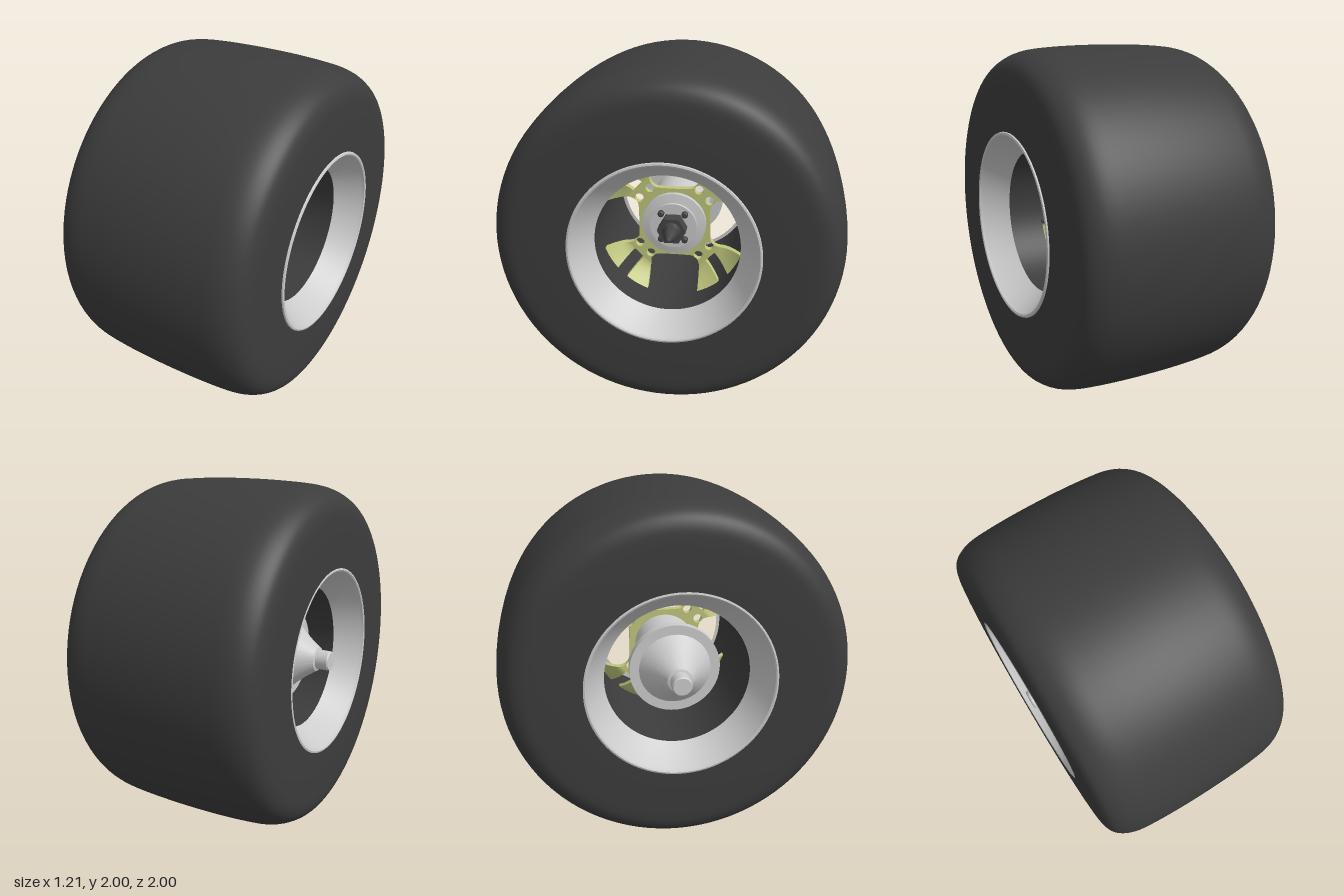
import * as THREE from 'three';
import { toCreasedNormals } from 'three/addons/utils/BufferGeometryUtils.js';

const material = (color) => new THREE.MeshStandardMaterial({ color, side: THREE.DoubleSide });
const grey = material(0xcccccc);
const rubber = material(0x3c3c3c);
const green = material(0xc0c67c);
const steel = material(0x444444);

// The wheel is built with its axle along local +z, then turned to +x.
// Each profile is a list of [radius, position along axle].
function turned(name, profile, mat, segments = 72, crease = 0.55) {
  const points = profile.map(([r, a]) => new THREE.Vector2(r, a));
  let geo = new THREE.LatheGeometry(points, segments);
  geo.rotateX(Math.PI / 2);
  geo = toCreasedNormals(geo, crease);
  const mesh = new THREE.Mesh(geo, mat);
  mesh.name = name;
  return mesh;
}

// Tyre: rounded shoulders, slightly crowned tread, flat side walls
function tyre() {
  const half = [[0.78, 0.6], [0.86, 0.592], [0.915, 0.565], [0.955, 0.51], [0.978, 0.44], [0.99, 0.33], [0.998, 0.16]];
  const tread = [
    ...half.map(([r, a]) => new THREE.Vector3(r, -a, 0)),
    new THREE.Vector3(1, 0, 0),
    ...half.slice().reverse().map(([r, a]) => new THREE.Vector3(r, a - 0.008, 0)),
  ];
  const curve = new THREE.CatmullRomCurve3(tread);
  const outer = curve.getPoints(56).map((p) => [p.x, p.y]);
  return turned('tyre', [[0.53, -0.6], ...outer, [0.53, 0.592]], rubber, 96);
}

// Dished rim ring with a rolled lip; side is +1 or -1
function rimRing(side) {
  const profile = [[0.435, 0.44], [0.41, 0.44], [0.508, 0.58], [0.514, 0.598], [0.522, 0.603], [0.532, 0.6], [0.536, 0.588], [0.53, 0.57]];
  return turned(side > 0 ? 'outerRim' : 'innerRim', profile.map(([r, a]) => [r, a * side]), grey, 96);
}

const PLATE_BACK = 0.08;
const PLATE_DEPTH = 0.04;
const ARM = 0.305; // distance along the diagonal where the arm splits
const ARM_HALF = 0.093;

// Hub plate: four diagonal arms joined by rounded window edges
function hubPlate() {
  const shape = new THREE.Shape();
  const at = (angle, x, y) => [x * Math.cos(angle) - y * Math.sin(angle), x * Math.sin(angle) + y * Math.cos(angle)];
  for (let i = 0; i < 4; i++) {
    const diagonal = Math.PI / 4 + (i * Math.PI) / 2;
    const straight = diagonal + Math.PI / 4;
    const start = at(diagonal, ARM, -ARM_HALF);
    if (i === 0) shape.moveTo(...start);
    else shape.lineTo(...start);
    shape.lineTo(...at(diagonal, ARM, ARM_HALF));
    shape.quadraticCurveTo(...at(straight, 0.225, -0.145), ...at(straight, 0.215, -0.1));
    shape.quadraticCurveTo(...at(straight, 0.21, 0), ...at(straight, 0.215, 0.1));
    shape.quadraticCurveTo(...at(straight, 0.225, 0.145), ...at(straight, 0.281, 0.15));
    // Pair of round holes in each arm
    for (const s of [-1, 1]) {
      const hole = new THREE.Path();
      hole.absarc(...at(diagonal, 0.251, s * 0.046), 0.027, 0, Math.PI * 2, true);
      shape.holes.push(hole);
    }
  }
  const geo = new THREE.ExtrudeGeometry(shape, { depth: PLATE_DEPTH, bevelEnabled: false, curveSegments: 12 });
  geo.translate(0, 0, PLATE_BACK);
  const mesh = new THREE.Mesh(geo, green);
  mesh.name = 'hubPlate';
  return mesh;
}

// Curved prong: fans out from the arm to the barrel, sweeping forward
function prong(side) {
  const box = new THREE.BoxGeometry(1, 1, 1, 10, 5, 1);
  const pos = box.attributes.position;
  for (let i = 0; i < pos.count; i++) {
    const s = pos.getX(i) + 0.5;
    const t = (side > 0 ? pos.getY(i) : -pos.getY(i)) + 0.5;
    const angle = THREE.MathUtils.lerp(0.0885, 0.429, t);
    const u = THREE.MathUtils.lerp(ARM, 0.43 * Math.cos(angle), s);
    const v = THREE.MathUtils.lerp(THREE.MathUtils.lerp(0.038, ARM_HALF, t), 0.43 * Math.sin(angle), s);
    const dish = 0.1 * Math.pow(s, 1.6);
    pos.setXYZ(i, u, side * v, PLATE_BACK + PLATE_DEPTH / 2 + pos.getZ(i) * PLATE_DEPTH + dish);
  }
  const mesh = new THREE.Mesh(toCreasedNormals(box, 0.6), green);
  mesh.name = 'spokeProng';
  return mesh;
}

export function createModel() {
  const model = new THREE.Group();
  model.name = 'wheel';
  const wheel = new THREE.Group();
  wheel.name = 'wheelAssembly';
  wheel.rotation.y = Math.PI / 2;
  wheel.position.y = 1;
  model.add(wheel);

  wheel.add(tyre(), rimRing(1), rimRing(-1));
  wheel.add(turned('barrel', [[0.432, -0.45], [0.432, 0.45]], rubber, 96));

  // Spokes
  wheel.add(hubPlate());
  for (let i = 0; i < 4; i++) {
    const spoke = new THREE.Group();
    spoke.name = 'spoke';
    spoke.rotation.z = Math.PI / 4 + (i * Math.PI) / 2;
    spoke.add(prong(1), prong(-1));
    wheel.add(spoke);
  }

  // Stepped hub cap on the outer face
  wheel.add(turned('hubCap', [[0, 0.1], [0.19, 0.1], [0.19, 0.15], [0.138, 0.16], [0.138, 0.18], [0, 0.18]], grey));

  // Hexagonal nut with a pointed end
  const hex = new THREE.CylinderGeometry(0.085, 0.085, 0.08, 6).toNonIndexed();
  hex.rotateX(Math.PI / 2).rotateZ(Math.PI / 6).translate(0, 0, 0.22);
  hex.computeVertexNormals();
  const nut = new THREE.Mesh(hex, steel);
  nut.name = 'hubNut';
  wheel.add(nut);
  wheel.add(turned('nutTip', [[0.055, 0.26], [0.038, 0.27], [0.038, 0.32], [0.008, 0.4], [0, 0.402]], steel, 24));

  // Four small studs around the nut
  for (const sx of [-1, 1]) {
    for (const sy of [-1, 1]) {
      const stud = turned('stud', [[0.019, 0.17], [0.019, 0.2], [0.012, 0.208], [0, 0.208]], steel, 16);
      stud.position.set(sx * 0.07, sy * 0.08, 0);
      wheel.add(stud);
    }
  }

  // Hub carrier, flange, flared cone and axle stub on the inner side
  wheel.add(turned('hubCarrier', [[0.18, -0.31], [0.18, 0.09]], grey));
  wheel.add(turned('flange', [[0, -0.34], [0.26, -0.34], [0.26, -0.29], [0, -0.29]], grey));
  wheel.add(turned('axleCone', [[0.055, -0.52], [0.07, -0.515], [0.085, -0.49], [0.12, -0.44], [0.16, -0.39], [0.205, -0.34]], grey));
  wheel.add(turned('axleStub', [[0, -0.595], [0.05, -0.595], [0.056, -0.588], [0.056, -0.5]], grey, 32));

  return model;
}
